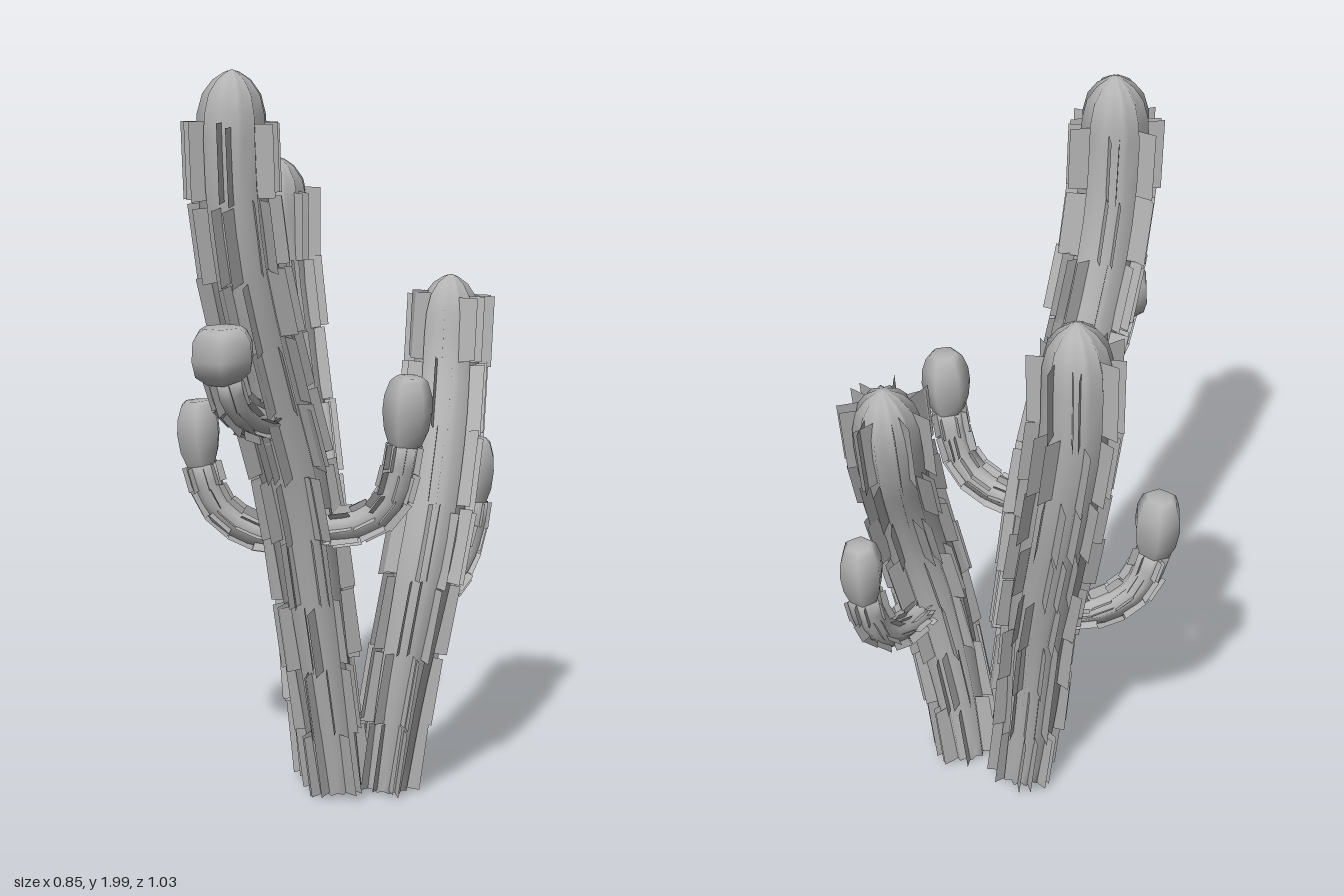
import * as THREE from 'three';

const skin = new THREE.MeshStandardMaterial({ color: 0xb4b4b4, side: THREE.DoubleSide });
skin.name = 'cactus grey';

// small seeded random in -1..1
let seed = 7;
const rnd = () => {
  seed = (seed * 16807) % 2147483647;
  return (seed / 2147483647) * 2 - 1;
};

// point at curve position t, angle a and radius r, using a frame built from a reference side vector
function around(curve, ref, t, a, r) {
  const T = curve.getTangentAt(t);
  const U = ref.clone().addScaledVector(T, -T.dot(ref)).normalize();
  const V = T.clone().cross(U);
  return curve.getPointAt(t).addScaledVector(U, Math.cos(a) * r).addScaledVector(V, Math.sin(a) * r);
}

function surface(pos, idx) {
  const g = new THREE.BufferGeometry();
  g.setAttribute('position', new THREE.Float32BufferAttribute(pos, 3));
  g.setIndex(idx);
  g.computeVertexNormals();
  return g;
}

// swept body; rings are [t, radius], every second corner is scaled by groove
function body(curve, ref, rings, sides, groove) {
  const pos = [], idx = [];
  rings.forEach(([t, r], i) => {
    for (let j = 0; j < sides; j++) {
      const rr = j % 2 ? r * groove : r;
      pos.push(...around(curve, ref, t, (j / sides) * Math.PI * 2, rr).toArray());
      if (i === 0) continue;
      const k = (j + 1) % sides, a = (i - 1) * sides, b = i * sides;
      idx.push(a + j, a + k, b + k, a + j, b + k, b + j);
    }
  });
  // close the tip
  const last = (rings.length - 1) * sides, tip = pos.length / 3;
  pos.push(...curve.getPointAt(rings[rings.length - 1][0]).toArray());
  for (let j = 0; j < sides; j++) idx.push(last + j, last + ((j + 1) % sides), tip);
  return surface(pos, idx);
}

// rows of thin flat spine plates standing along the ribs; radii grow from the base by taper
function spines(curve, ref, ribs, t1, rows, inner, outer, spread, taper) {
  const pos = [], idx = [];
  const step = t1 / rows;
  for (let i = 0; i < rows; i++) {
    const size = taper + (1 - taper) * Math.min(1, i / (rows * 0.5));
    for (let j = 0; j < ribs; j++) {
      const a = (j / ribs) * Math.PI * 2 + rnd() * spread * 0.3;
      const lean = a + rnd() * spread;
      const shift = rnd() * step * 0.05;
      const s = Math.max(0, i * step + shift);
      const e = Math.min(1, (i + 0.98) * step + shift);
      const out = outer * size * (1 + rnd() * 0.05);
      const n = pos.length / 3;
      for (const [t, ang, r] of [[s, a, inner * size], [s, lean, out], [e, lean, out], [e, a, inner * size]]) {
        pos.push(...around(curve, ref, t, ang, r).toArray());
      }
      idx.push(n, n + 1, n + 2, n, n + 2, n + 3);
    }
  }
  return surface(pos, idx);
}

const toCurve = (pts) => new THREE.CatmullRomCurve3(pts.map((p) => new THREE.Vector3(...p)));

function part(name, geometry) {
  const m = new THREE.Mesh(geometry, skin);
  m.name = name;
  return m;
}

// ribbed main stalk with a domed top; bare is the length of tip without spines
function stalk(name, bare, pts) {
  const curve = toCurve(pts), len = curve.getLength();
  const ref = new THREE.Vector3(1, 0, 0);
  const rings = [];
  const neck = 1 - 0.17 / len;
  for (let i = 0; i <= 16; i++) rings.push([(neck * i) / 16, 0.066 + 0.025 * Math.min(1, i / 8)]);
  for (const [d, r] of [[0.11, 0.088], [0.06, 0.075], [0.025, 0.049], [0.006, 0.02]]) rings.push([1 - d / len, r]);
  rings.push([1, 0.002]);
  const g = new THREE.Group();
  g.name = name;
  g.add(part(name + 'Body', body(curve, ref, rings, 24, 0.8)));
  g.add(part(name + 'Spines', spines(curve, ref, 12, 1 - bare / len, Math.round(len / 0.21), 0.06, 0.122, 0.38, 0.79)));
  return g;
}

// side arm: thin curved stem swelling into a six-sided bud
function arm(name, pts, bud) {
  const curve = toCurve(pts), len = curve.getLength();
  const a = pts[0], b = pts[pts.length - 1];
  // horizontal vector across the plane of the bend
  const ref = new THREE.Vector3(b[2] - a[2], 0, a[0] - b[0]).normalize();
  const neck = 1 - bud[0][0] / len;
  const stem = [];
  for (let i = 0; i <= 8; i++) stem.push([(neck * i) / 8, 0.04 + 0.008 * (i / 8)]);
  const g = new THREE.Group();
  g.name = name;
  g.add(part(name + 'Stem', body(curve, ref, stem, 12, 0.75)));
  g.add(part(name + 'Bud', body(curve, ref, bud.map(([d, r]) => [1 - d / len, r]), 6, 1)));
  g.add(part(name + 'Spines', spines(curve, ref, 8, neck, Math.max(2, Math.round(len / 0.1)), 0.025, 0.056, 0.4, 1)));
  return g;
}

export function createModel() {
  seed = 7;
  const model = new THREE.Group();
  model.name = 'cactus';

  // three leaning stalks
  model.add(
    stalk('frontStalk', 0.13, [
      [0.08, 0.03, -0.05], [0.06, 0.3, -0.005], [0.035, 0.6, 0.045], [0.01, 0.9, 0.105],
      [-0.03, 1.2, 0.205], [-0.065, 1.5, 0.302], [-0.08, 1.75, 0.34], [-0.08, 2.0, 0.34],
    ]),
    stalk('rightStalk', 0.08, [
      [0.01, 0.03, -0.17], [-0.025, 0.3, -0.19], [-0.06, 0.6, -0.23], [-0.105, 0.85, -0.28],
      [-0.165, 1.15, -0.35], [-0.213, 1.45, -0.388], [-0.212, 1.73, -0.388],
    ]),
    stalk('leftStalk', 0.05, [
      [0.19, 0.02, -0.12], [0.23, 0.3, -0.115], [0.28, 0.6, -0.135], [0.305, 0.8, -0.18],
      [0.31, 1.0, -0.255], [0.297, 1.2, -0.345], [0.298, 1.42, -0.38],
    ]),
  );

  // side arms; bud rings are [distance from tip, radius]
  const tall = [[0.18, 0.044], [0.14, 0.059], [0.09, 0.066], [0.05, 0.063], [0.012, 0.05], [0, 0.036]];
  const squat = [[0.135, 0.05], [0.11, 0.08], [0.08, 0.087], [0.035, 0.084], [0.01, 0.068], [0, 0.05]];
  model.add(
    arm('rightArm', [
      [-0.08, 0.69, -0.23], [-0.2, 0.695, -0.195], [-0.3, 0.76, -0.16], [-0.348, 0.88, -0.14], [-0.363, 1.07, -0.14],
    ], tall),
    arm('leftArm', [
      [0.04, 0.79, 0.085], [0.16, 0.8, 0.09], [0.26, 0.86, 0.1], [0.305, 0.99, 0.112], [0.322, 1.21, 0.114],
    ], tall),
    arm('frontArm', [
      [-0.02, 1.08, 0.2], [-0.04, 1.11, 0.32], [-0.06, 1.16, 0.395], [-0.072, 1.25, 0.432], [-0.074, 1.365, 0.435],
    ], squat),
    arm('backArm', [
      [0.28, 0.57, -0.15], [0.31, 0.565, -0.27], [0.335, 0.62, -0.37], [0.355, 0.74, -0.42], [0.36, 0.955, -0.435],
    ], tall.map(([d, r]) => [d, r * 0.92])),
  );
  return model;
}
